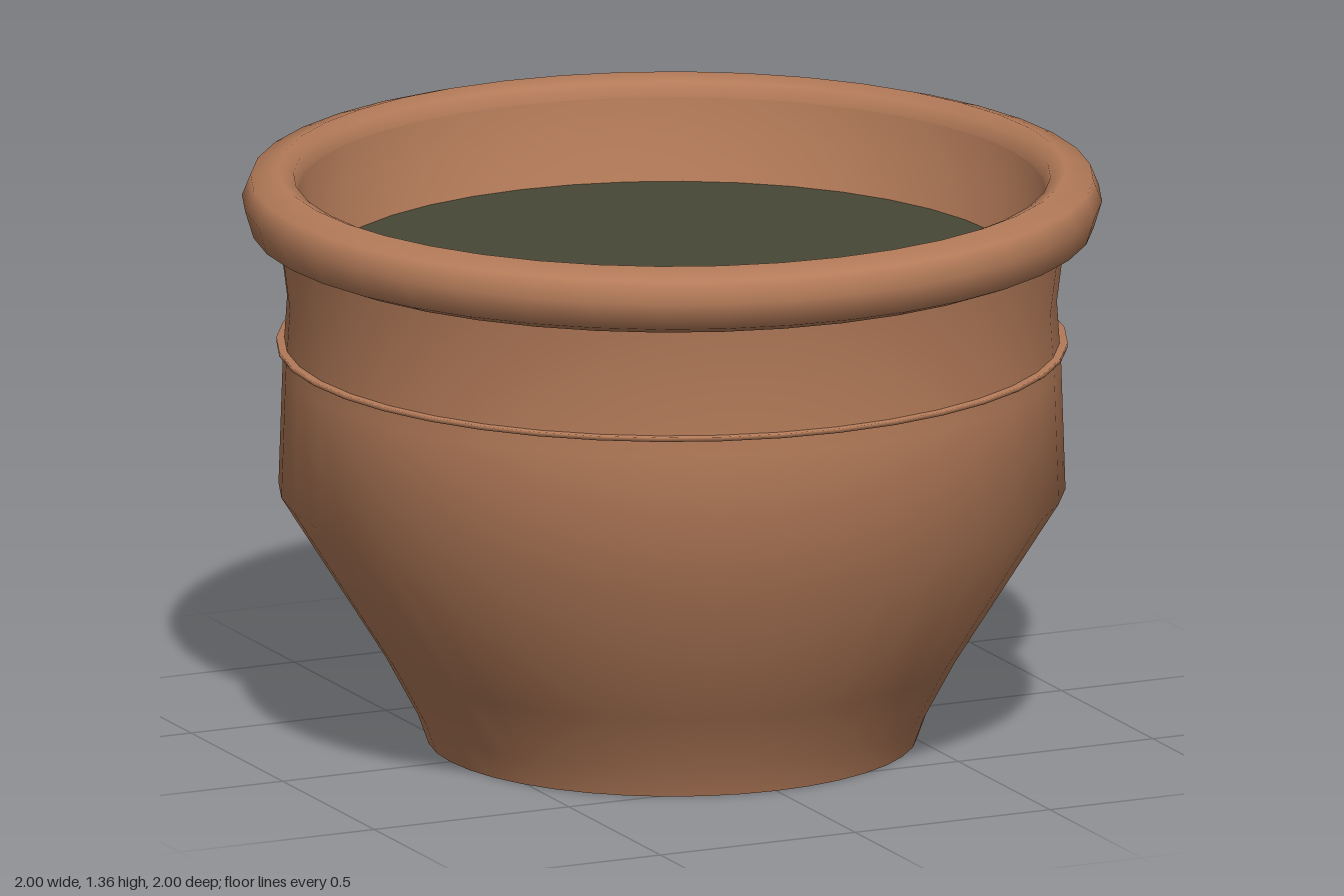
import * as THREE from 'three';

const SEGMENTS = 40;

// Revolve a list of [radius, height] pairs around the y axis.
function revolve(name, points, material) {
  const profile = points.map(([r, y]) => new THREE.Vector2(r, y));
  const mesh = new THREE.Mesh(new THREE.LatheGeometry(profile, SEGMENTS), material);
  mesh.name = name;
  return mesh;
}

export function createModel() {
  const pot = new THREE.Group();
  pot.name = 'plantPot';

  const terracotta = new THREE.MeshStandardMaterial({ color: 0xb47b59, side: THREE.DoubleSide });
  terracotta.name = 'terracotta';
  const soilGreen = new THREE.MeshStandardMaterial({ color: 0x474736, side: THREE.DoubleSide });
  soilGreen.name = 'darkSoil';

  // Thin outer wall, open at the foot
  pot.add(revolve('wall', [
    [0.57, 0], [0.595, 0.07], [0.67, 0.21], [0.915, 0.6],
    [0.905, 0.9], [0.895, 1.05], [0.915, 1.21],
  ], terracotta));

  // Rolled rim
  pot.add(revolve('rim', [
    [0.9, 1.2], [0.93, 1.205], [0.98, 1.225], [1, 1.29], [0.98, 1.34],
    [0.915, 1.36], [0.88, 1.345], [0.87, 1.31],
  ], terracotta));

  // Inner lip running down to the soil
  pot.add(revolve('innerLip', [
    [0.87, 1.31], [0.855, 1.22], [0.82, 1.11],
  ], terracotta));

  // Fine raised band around the belly
  pot.add(revolve('band', [
    [0.895, 0.94], [0.92, 0.94], [0.92, 0.95], [0.895, 0.95],
  ], terracotta));

  // Fine seam inside the foot
  pot.add(revolve('footSeam', [
    [0.665, 0.205], [0.655, 0.205], [0.66, 0.215], [0.67, 0.215],
  ], terracotta));

  // Soil surface
  const soil = new THREE.Mesh(new THREE.CircleGeometry(0.825, SEGMENTS), soilGreen);
  soil.name = 'soil';
  soil.rotation.x = -Math.PI / 2;
  soil.position.y = 1.12;
  pot.add(soil);

  return pot;
}
